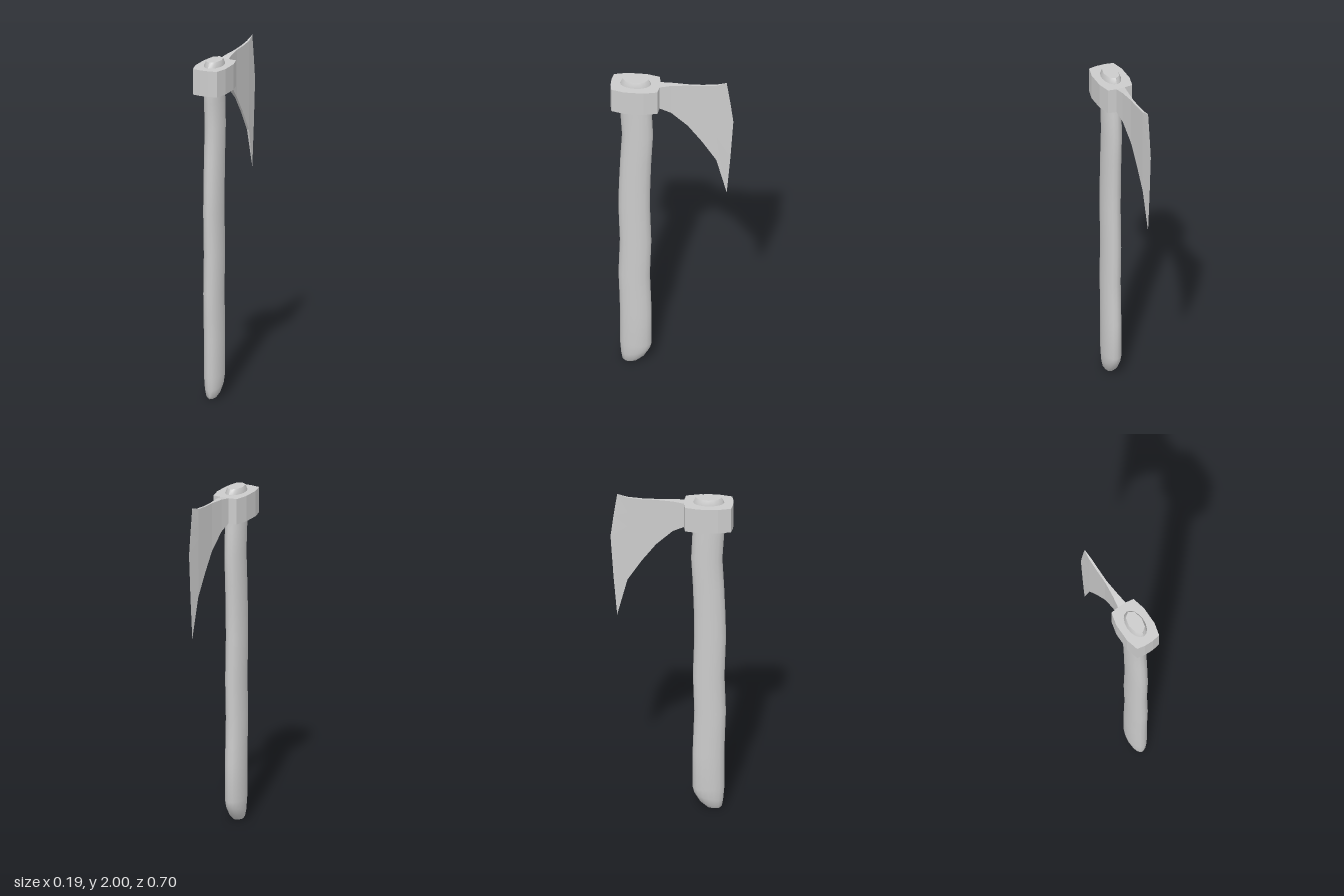
import * as THREE from 'three';
import { toCreasedNormals } from 'three/addons/utils/BufferGeometryUtils.js';

const grey = new THREE.MeshStandardMaterial({ color: 0xcccccc });
const greyFlat = new THREE.MeshStandardMaterial({ color: 0xcccccc, flatShading: true });

// Skins closed loops of points (clockwise as seen from the last loop's end) and caps both ends.
function loft(loops) {
  const n = loops[0].length;
  const idx = [];
  for (let i = 0; i < loops.length - 1; i++) {
    for (let j = 0; j < n; j++) {
      const a = i * n + j, b = i * n + (j + 1) % n;
      idx.push(a, a + n, b, b, a + n, b + n);
    }
  }
  const last = (loops.length - 1) * n;
  for (let j = 1; j < n - 1; j++) {
    idx.push(0, j, j + 1);
    idx.push(last, last + j + 1, last + j);
  }
  const g = new THREE.BufferGeometry();
  g.setAttribute('position', new THREE.Float32BufferAttribute(loops.flat(2), 3));
  g.setIndex(idx);
  return g;
}

function named(name, geometry, material) {
  const mesh = new THREE.Mesh(geometry, material);
  mesh.name = name;
  return mesh;
}

// Wavy oval handle: [y, back z, front z, half width, rise towards the back]
function makeHandle() {
  const sides = 16;
  const rings = [
    [0.0, 0.195, 0.275, 0.022, 0.008],
    [0.012, 0.157, 0.284, 0.036, 0.032],
    [0.05, 0.127, 0.291, 0.047, 0.045],
    [0.13, 0.117, 0.298, 0.052, 0],
    [0.35, 0.117, 0.298, 0.053, 0],
    [0.48, 0.122, 0.302, 0.053, 0],
    [0.62, 0.127, 0.307, 0.053, 0],
    [0.85, 0.119, 0.299, 0.053, 0],
    [1.1, 0.127, 0.308, 0.053, 0],
    [1.25, 0.125, 0.304, 0.053, 0],
    [1.42, 0.119, 0.297, 0.053, 0],
    [1.6, 0.109, 0.287, 0.053, 0],
    [1.75, 0.116, 0.297, 0.053, 0],
    [1.81, 0.12, 0.302, 0.053, 0],
    [1.96, 0.12, 0.298, 0.053, 0],
    [1.99, 0.134, 0.284, 0.043, 0],
  ];
  const loops = rings.map(([y, back, front, half, rise], r) =>
    Array.from({ length: sides }, (_, i) => {
      const a = (-i / sides) * Math.PI * 2;
      // the end rings are whittled down to eight sides
      const isEnd = r === 0 || r === rings.length - 1;
      const k = isEnd && i % 2 ? Math.cos(Math.PI / 8) : 1;
      const c = k * Math.cos(a);
      return [
        k * half * Math.sin(a),
        y + rise * (1 - c) / 2,
        (back + front) / 2 + c * (front - back) / 2,
      ];
    }));
  return named('handle', toCreasedNormals(loft(loops), 0.75), grey);
}

// Many-sided collar that grips the top of the handle
function makeCollar() {
  const half = [[0.026, 0.07], [0.075, 0.077], [0.094, 0.155], [0.094, 0.265], [0.075, 0.34], [0.026, 0.349]];
  const outline = [...half, ...half.map(([x, z]) => [-x, z]).reverse()];
  const shape = new THREE.Shape(outline.map(([x, z]) => new THREE.Vector2(x, -z)));
  const g = new THREE.ExtrudeGeometry(shape, { depth: 0.151, bevelEnabled: false });
  g.rotateX(-Math.PI / 2).translate(0, 1.808, 0);
  return named('headCollar', g, greyFlat);
}

// Bearded blade, thinning from the collar to a bowed cutting edge
function makeBlade() {
  // [z, bottom y, top y, half thickness]
  const stations = [
    [0.08, 1.81, 1.957, 0.026],
    [0.07, 1.81, 1.959, 0.026],
    [0.005, 1.777, 1.967, 0.016],
    [-0.09, 1.685, 1.97, 0.0065],
    [-0.17, 1.58, 1.972, 0.0065],
    [-0.252, 1.455, 1.98, 0.0065],
    [-0.311, 1.225, 2.0, 0.0004],
  ];
  const rows = [0, 0.18, 0.35, 0.68, 1]; // share of the height, from the top
  const bow = [0, 0.021, 0.038, 0.021, 0];
  const loops = stations.map(([z, bottom, top, half], s) => {
    const side = rows.map((t, r) => [
      half,
      top + (bottom - top) * t,
      z - (s === stations.length - 1 ? bow[r] : 0),
    ]);
    const other = side.map(([x, y, zz]) => [-x, y, zz]);
    return [...other, ...side.reverse()];
  });
  return named('blade', loft(loops), greyFlat);
}

export function createModel() {
  const model = new THREE.Group();
  model.name = 'axe';
  const head = new THREE.Group();
  head.name = 'axeHead';
  head.add(makeCollar(), makeBlade());
  model.add(makeHandle(), head);
  return model;
}
